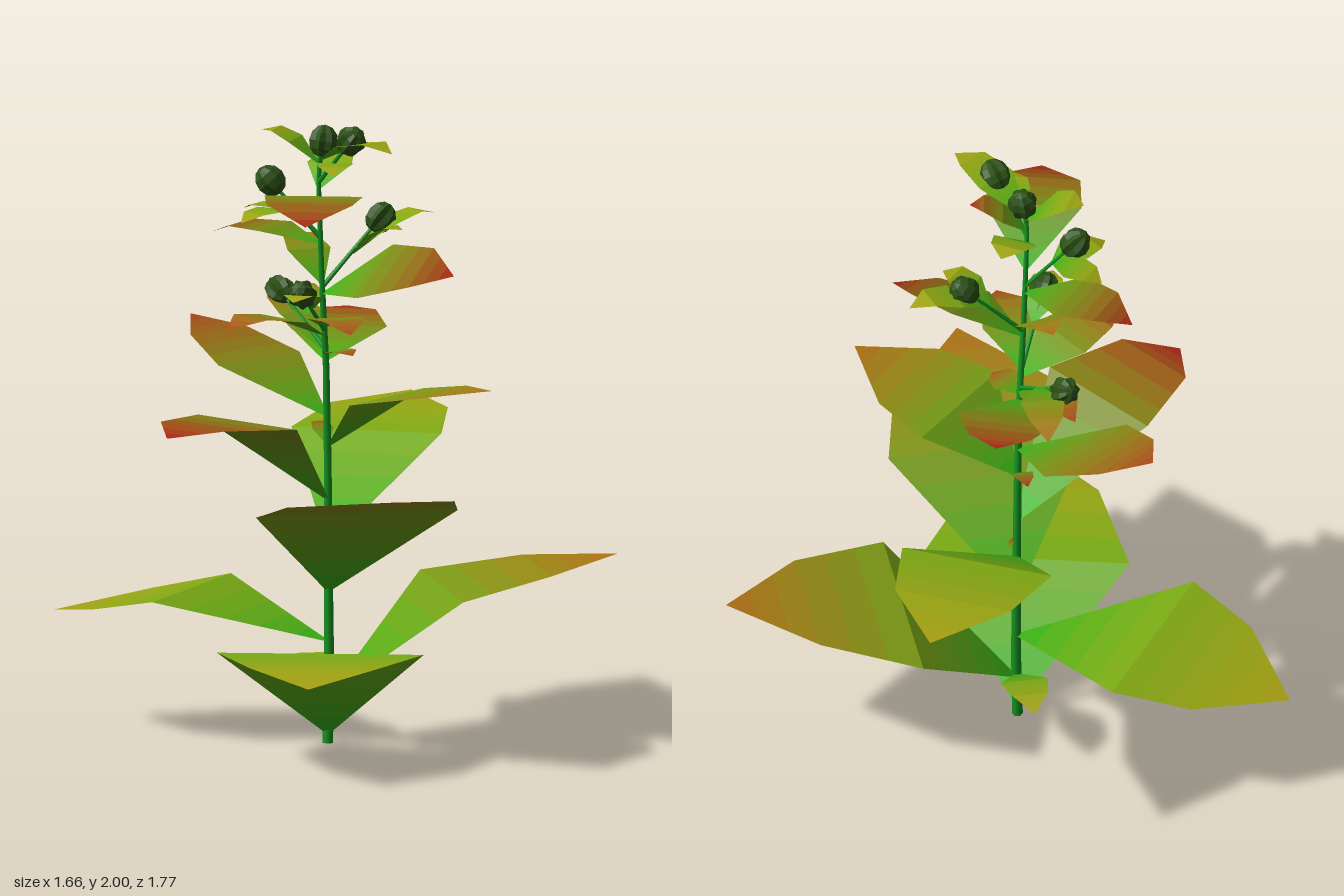
import * as THREE from 'three';

const V = (x, y, z) => new THREE.Vector3(x, y, z);
const GREEN = 0x2cb416, YELLOW = 0xaaa012, ORANGE = 0xb06c14, RED = 0xa81414, BROWN = 0xb04418;

const STEM = [
  V(0.11, 0, 0.04), V(0.11, 0.25, 0.03), V(0.105, 0.5, 0.025), V(0.11, 0.9, 0.04), V(0.12, 1.2, 0.07),
  V(0.13, 1.5, 0.12), V(0.14, 1.8, 0.16), V(0.15, 1.9, 0.17),
];

// Point on the stem at a given height
function stemAt(y) {
  let i = 1;
  while (i < STEM.length - 1 && STEM[i].y < y) i++;
  const a = STEM[i - 1], b = STEM[i];
  return a.clone().lerp(b, (y - a.y) / (b.y - a.y));
}

// Tapered rod between two points
function rod(a, b, ra, rb, material, name) {
  const dir = b.clone().sub(a);
  const mesh = new THREE.Mesh(new THREE.CylinderGeometry(rb, ra, dir.length(), 6), material);
  mesh.position.copy(a).lerp(b, 0.5);
  mesh.quaternion.setFromUnitVectors(V(0, 1, 0), dir.normalize());
  mesh.name = name;
  return mesh;
}

// Flat strip between two cross-lines, each given as [left, right]
function strip(a, b, color) {
  const g = new THREE.BufferGeometry().setFromPoints([a[0], a[1], b[1], a[0], b[1], b[0]]);
  g.computeVertexNormals();
  return new THREE.Mesh(g, new THREE.MeshStandardMaterial({ color, side: THREE.DoubleSide, flatShading: true }));
}

// Angular leaf: pointed base, two wide cross-lines, pointed tip; colour shifts from green to the tip colour.
// Each cross-line is [fraction of length, height, width].
function leaf(base, tip, s1, s2, tipColor, name, roll = 0) {
  const group = new THREE.Group();
  group.name = name;
  const side = V(tip.z - base.z, 0, base.x - tip.x).normalize();
  side.y = roll;
  const line = (f, y, w) => {
    const c = base.clone().lerp(tip, f);
    c.y = y;
    return [c.clone().addScaledVector(side, -w / 2), c.clone().addScaledVector(side, w / 2)];
  };
  const stations = [[0, base.y, 0.012], s1, s2, [1, tip.y, 0.002]];
  const from = new THREE.Color(GREEN), to = new THREE.Color(tipColor);
  for (let k = 0; k < 3; k++) {
    const a = line(...stations[k]), b = line(...stations[k + 1]);
    const n = k === 0 ? 5 : 3;
    const cut = (t) => [a[0].clone().lerp(b[0], t), a[1].clone().lerp(b[1], t)];
    for (let i = 0; i < n; i++) {
      const f = THREE.MathUtils.lerp(stations[k][0], stations[k + 1][0], (i + 0.5) / n);
      const band = strip(cut(i / n), cut((i + 1) / n), from.clone().lerp(to, f));
      band.name = name + 'Band';
      group.add(band);
    }
  }
  return group;
}

// Ribbed bud, standing along its stalk
function bud(center, dir, material) {
  const g = new THREE.SphereGeometry(1, 14, 6);
  const p = g.attributes.position;
  for (let i = 0; i < p.count; i++) {
    const r = (i % 15) % 2 ? 0.8 : 1;
    p.setXYZ(i, p.getX(i) * r * 0.048, p.getY(i) * 0.052, p.getZ(i) * r * 0.048);
  }
  g.computeVertexNormals();
  const mesh = new THREE.Mesh(g, material);
  mesh.position.copy(center);
  mesh.quaternion.setFromUnitVectors(V(0, 1, 0), dir.clone().normalize());
  mesh.name = 'bud';
  return mesh;
}

export function createModel() {
  const plant = new THREE.Group();
  plant.name = 'plant';
  const stemMat = new THREE.MeshStandardMaterial({ color: 0x149422 });
  const budMat = new THREE.MeshStandardMaterial({ color: 0x2c5216, flatShading: true });

  // Stem, thinner towards the top
  const radius = (y) => 0.017 - 0.0055 * y;
  for (let i = 1; i < STEM.length; i++) {
    const a = STEM[i - 1], b = STEM[i];
    plant.add(rod(a, b, radius(a.y), radius(b.y), stemMat, 'stem'));
  }

  // Large leaves: stem height, tip, first cross-line, second cross-line, tip colour, roll
  const large = [
    [0.03, V(0.48, 0.32, 0.89), [0.38, 0.34, 0.65], [0.76, 0.35, 0.4], YELLOW],
    [0.32, V(-0.83, 0.36, 0.09), [0.5, 0.46, 0.62], [0.75, 0.41, 0.46], YELLOW],
    [0.15, V(0.83, 0.57, -0.55), [0.39, 0.485, 0.66], [0.72, 0.54, 0.44], ORANGE],
    [0.48, V(0.66, 0.895, 0.67), [0.45, 0.785, 0.65], [0.67, 0.845, 0.54], ORANGE],
    [0.63, V(-0.07, 0.975, -0.88), [0.46, 0.925, 0.49], [0.74, 0.965, 0.38], YELLOW],
    [0.77, V(-0.1, 1.05, 0.73), [0.5, 1.06, 0.43], [0.84, 1.075, 0.28], RED],
    [0.94, V(0.73, 1.175, 0.12), [0.36, 1.12, 0.41], [0.66, 1.15, 0.34], ORANGE],
    [1.04, V(-0.45, 1.3, -0.11), [0.5, 1.19, 0.37], [0.8, 1.26, 0.25], BROWN],
    [1.22, V(0.0, 1.33, -0.31), [0.5, 1.3, 0.32], [0.85, 1.33, 0.2], RED],
    [1.44, V(0.57, 1.52, 0.07), [0.4, 1.52, 0.3], [0.75, 1.54, 0.22], RED, 0.42],
    [1.68, V(0.31, 1.73, 0.58), [0.42, 1.785, 0.31], [0.73, 1.78, 0.27], RED],
  ];
  for (const [y, tip, s1, s2, color, roll] of large) {
    plant.add(leaf(stemAt(y), tip, s1, s2, color, 'largeLeaf', roll));
  }

  // Small leaves: base, tip, width, tip colour
  const small = [
    [stemAt(0.16), V(-0.08, 0.23, -0.2), 0.15, YELLOW],
    [stemAt(0.5), V(0.27, 0.63, -0.16), 0.13, ORANGE],
    [stemAt(0.64), V(0.15, 0.65, 0.08), 0.04, RED],
    [stemAt(0.95), V(0.02, 1.0, -0.06), 0.07, RED],
    [stemAt(1.3), V(-0.03, 1.36, 0.46), 0.22, BROWN],
    [stemAt(1.33), V(0.36, 1.36, 0.37), 0.18, BROWN],
    [stemAt(1.47), V(-0.05, 1.6, -0.02), 0.15, ORANGE],
    [stemAt(1.6), V(-0.25, 1.61, 0.13), 0.22, RED],
    [stemAt(1.24), V(0.24, 1.25, 0.12), 0.12, BROWN],
    [stemAt(1.25), V(-0.18, 1.37, -0.12), 0.16, BROWN],
    [stemAt(1.87), V(0.46, 1.93, 0.28), 0.14, YELLOW],
    [stemAt(1.86), V(-0.04, 1.96, 0.2), 0.15, YELLOW],
    [stemAt(1.78), V(0.12, 1.86, -0.05), 0.15, YELLOW],
    [stemAt(1.82), V(0.3, 1.92, 0.08), 0.12, RED],
    [V(0.21, 1.58, 0.04), V(0.37, 1.67, -0.19), 0.13, YELLOW],
    [V(0.2, 1.56, 0.04), V(0.38, 1.65, 0.05), 0.12, YELLOW],
    [V(0.06, 1.71, 0.18), V(-0.02, 1.69, 0.38), 0.13, YELLOW],
    [V(0.06, 1.71, 0.18), V(-0.12, 1.7, 0.17), 0.12, YELLOW],
    [V(0.15, 1.41, 0.22), V(0.19, 1.46, 0.43), 0.13, YELLOW],
    [V(0.02, 1.35, 0.01), V(-0.16, 1.38, -0.26), 0.14, ORANGE],
    [V(0.22, 1.87, 0.19), V(0.29, 1.86, 0.36), 0.12, YELLOW],
  ];
  for (const [base, tip, w, color] of small) {
    const rise = tip.y - base.y, arc = base.distanceTo(tip) * 0.1;
    plant.add(leaf(base, tip, [0.42, base.y + rise * 0.55 + arc, w],
      [0.75, base.y + rise * 0.85 + arc, w * 0.75], color, 'smallLeaf'));
  }

  // Buds on stalks: height where the stalk leaves the stem, bud centre
  const buds = [
    [1.26, V(-0.1, 1.41, -0.04)],
    [1.32, V(0.17, 1.47, 0.33)],
    [1.46, V(0.26, 1.67, -0.03)],
    [1.62, V(-0.01, 1.8, 0.2)],
    [1.8, V(0.285, 1.95, 0.22)],
    [1.85, V(0.15, 1.93, 0.15)],
  ];
  for (const [y, center] of buds) {
    const from = stemAt(y);
    plant.add(rod(from, center, 0.008, 0.005, stemMat, 'stalk'));
    plant.add(bud(center, center.clone().sub(from), budMat));
  }
  return plant;
}
